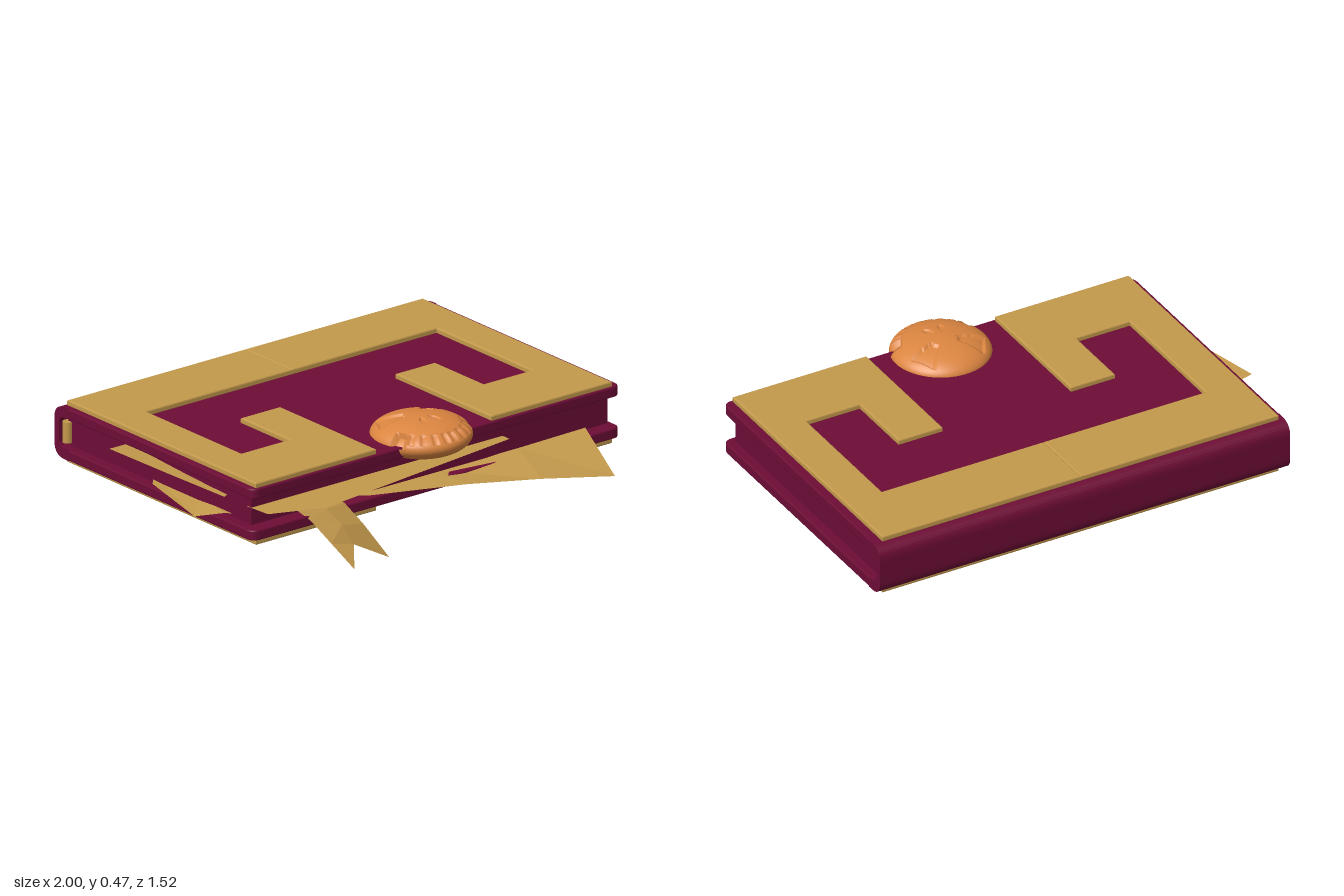
import * as THREE from 'three';

const maroon = new THREE.MeshStandardMaterial({ color: 0x6d0c36 });
const gold = new THREE.MeshStandardMaterial({ color: 0xc49a4c });
const cloth = new THREE.MeshStandardMaterial({ color: 0xc49a4c, side: THREE.DoubleSide, flatShading: true });
const orange = new THREE.MeshStandardMaterial({ color: 0xdb8540 });
const CX = 0.04; // middle of the book in x

function addMesh(parent, name, geometry, material) {
  const mesh = new THREE.Mesh(geometry, material);
  mesh.name = name;
  parent.add(mesh);
  return mesh;
}

// Flat plate: outline drawn in (x, -z), raised from y0 to y1 with a small bevel
function plate(shape, y0, y1, bevel) {
  const g = new THREE.ExtrudeGeometry(shape, {
    depth: y1 - y0 - 2 * bevel, bevelSize: bevel, bevelThickness: bevel,
    bevelOffset: -bevel, bevelSegments: 2, curveSegments: 6,
  });
  return g.rotateX(-Math.PI / 2).translate(0, y0 + bevel, 0);
}

// Board with its two front corners rounded
function boardShape() {
  const x0 = -0.915, x1 = 1, back = 0.68, front = -0.52, r = 0.04;
  const s = new THREE.Shape();
  s.moveTo(x0, back);
  s.lineTo(x0, front + r);
  s.quadraticCurveTo(x0, front, x0 + r, front);
  s.lineTo(x1 - r, front);
  s.quadraticCurveTo(x1, front, x1, front + r);
  s.lineTo(x1, back);
  return s;
}

// C-shaped spine profile in (-z, y), swept along x
function spineGeometry() {
  const s = new THREE.Shape();
  s.moveTo(0.67, 0.175);
  s.lineTo(0.69, 0.175);
  s.quadraticCurveTo(0.76, 0.175, 0.76, 0.235);
  s.lineTo(0.76, 0.34);
  s.quadraticCurveTo(0.76, 0.4, 0.69, 0.4);
  s.lineTo(0.67, 0.4);
  s.lineTo(0.67, 0.355);
  s.lineTo(0.69, 0.355);
  s.quadraticCurveTo(0.73, 0.355, 0.73, 0.32);
  s.lineTo(0.73, 0.255);
  s.quadraticCurveTo(0.73, 0.22, 0.69, 0.22);
  s.lineTo(0.67, 0.22);
  const g = new THREE.ExtrudeGeometry(s, { depth: 1.915, bevelEnabled: false, curveSegments: 8 });
  return g.rotateY(Math.PI / 2).translate(-0.915, 0, 0);
}

// Half of the hooked border, on side +1 or -1
function hookShape(side) {
  const pts = [[0, 0.71], [0.925, 0.71], [0.925, -0.51], [0.3, -0.51], [0.3, 0.11],
    [0.505, 0.11], [0.505, -0.205], [0.755, -0.205], [0.755, 0.41], [0, 0.41]];
  return new THREE.Shape(pts.map(([x, b]) => new THREE.Vector2(0.035 + side * x, b)));
}

// Thin strip between two rails with equal numbers of points
function strip(railA, railB) {
  const pos = [];
  for (let i = 0; i + 1 < railA.length; i++) {
    const [a, b, c, d] = [railA[i], railB[i], railB[i + 1], railA[i + 1]];
    pos.push(...a, ...b, ...c, ...a, ...c, ...d);
  }
  const g = new THREE.BufferGeometry();
  g.setAttribute('position', new THREE.Float32BufferAttribute(pos, 3));
  g.computeVertexNormals();
  return g;
}

// Depth of the carved face at a point of the clasp's plan
function carving(u, v) {
  const a = Math.abs(u), r = Math.hypot(u, v);
  // eyes: blocks tilted outward, wider at the outside
  const p = (a - 0.1) * 0.85 + (v + 0.075) * -0.5;
  const q = (a - 0.1) * 0.5 + (v + 0.075) * 0.85;
  if (Math.abs(p) < 0.052 && Math.abs(q) < 0.036 + p * 0.3) return 0.009;
  // nostrils
  if (Math.hypot((a - 0.03 - (v - 0.05) * 0.3) / 0.013, (v - 0.05) / 0.024) < 1) return 0.007;
  // cheek notches and the gaps between teeth
  const angle = Math.atan2(a, v);
  if (r > 0.165 && Math.abs(angle - 1.13) < 0.13) return 0.02;
  if (r > 0.165 && r < 0.203 && angle < 1 && ((angle + 0.13) % 0.26) > 0.2) return 0.012;
  return 0;
}

function claspGeometry() {
  const g = new THREE.SphereGeometry(0.21, 120, 90);
  const p = g.attributes.position;
  for (let i = 0; i < p.count; i++) {
    const x = p.getX(i), y = p.getY(i), z = p.getZ(i);
    const cut = y > 0.01 ? carving(x, z) : 0;
    const shrink = 1 - cut * 2;
    p.setXYZ(i, x * shrink, y * 0.385 - cut, z * shrink);
  }
  g.computeVertexNormals();
  return g;
}

export function createModel() {
  const model = new THREE.Group();
  model.name = 'book';

  // Cover and page block
  addMesh(model, 'topBoard', plate(boardShape(), 0.355, 0.4, 0.006), maroon);
  addMesh(model, 'bottomBoard', plate(boardShape(), 0.175, 0.22, 0.006), maroon);
  addMesh(model, 'spine', spineGeometry(), maroon);
  const pages = addMesh(model, 'pages', new THREE.BoxGeometry(1.85, 0.115, 1.18), maroon);
  pages.position.set(CX, 0.287, -0.115);
  const band = addMesh(model, 'headband', new THREE.CylinderGeometry(0.022, 0.022, 0.09, 12), gold);
  band.position.set(-0.89, 0.287, -0.705);

  // Hooked borders on both boards
  for (const side of [-1, 1]) {
    addMesh(model, 'topBorder', plate(hookShape(side), 0.395, 0.422, 0.006), gold);
    addMesh(model, 'bottomBorder', plate(hookShape(side), 0.153, 0.18, 0.006), gold);
  }

  // Round clasp carved with a face
  const clasp = addMesh(model, 'clasp', claspGeometry(), orange);
  clasp.position.set(0.035, 0.394, 0.428);

  // Loose sheets at the front
  addMesh(model, 'frontSheet', strip(
    [[-0.89, 0.305, 0.45], [-0.65, 0.305, 0.45], [0.05, 0.305, 0.45], [0.42, 0.305, 0.45]],
    [[-0.88, 0.305, 0.575], [-0.65, 0.305, 0.665], [0.05, 0.305, 0.57], [0.42, 0.305, 0.52]]), cloth);
  addMesh(model, 'droopingSheet', strip(
    [[-0.35, 0.228, 0.46], [0.1, 0.225, 0.46], [0.5, 0.235, 0.48], [0.83, 0.25, 0.5]],
    [[-0.3, 0.225, 0.5], [0.12, 0.21, 0.62], [0.45, 0.175, 0.69], [0.775, 0.13, 0.76]]), cloth);

  // Forked bookmark ribbon
  addMesh(model, 'bookmarkRibbon', strip(
    [[-0.68, 0.265, 0.47], [-0.62, 0.2, 0.53], [-0.57, 0.11, 0.6], [-0.515, 0.01, 0.68]],
    [[-0.62, 0.285, 0.46], [-0.54, 0.235, 0.53], [-0.5, 0.17, 0.58], [-0.47, 0.09, 0.62]]), cloth);
  addMesh(model, 'bookmarkRibbon', strip(
    [[-0.62, 0.285, 0.46], [-0.54, 0.235, 0.53], [-0.5, 0.17, 0.58], [-0.47, 0.09, 0.62]],
    [[-0.56, 0.272, 0.47], [-0.44, 0.235, 0.52], [-0.39, 0.15, 0.58], [-0.31, 0.005, 0.65]]), cloth);

  // Loose sheets sticking out of the side
  addMesh(model, 'upperSideSheet', strip(
    [[-0.85, 0.345, -0.325], [-0.85, 0.325, 0], [-0.85, 0.315, 0.3]],
    [[-1, 0.358, -0.3], [-0.955, 0.335, 0], [-0.91, 0.315, 0.33]]), cloth);
  addMesh(model, 'lowerSideSheet', strip(
    [[-0.85, 0.24, -0.2], [-0.85, 0.24, 0.1], [-0.85, 0.24, 0.38]],
    [[-0.92, 0.24, -0.12], [-1, 0.228, 0.25], [-0.91, 0.245, 0.33]]), cloth);

  return model;
}
